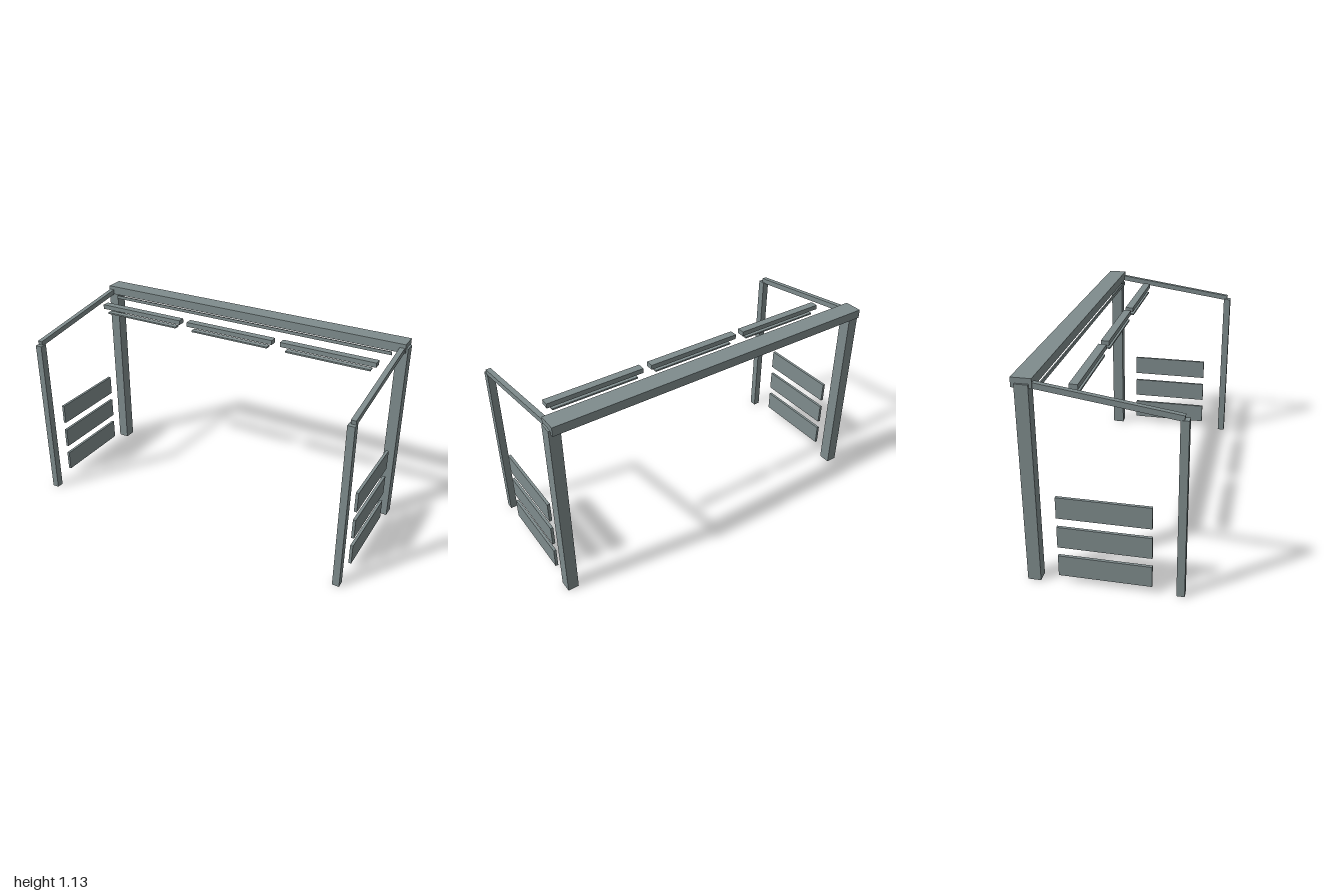
import * as THREE from 'three';

export function createModel() {
  const group = new THREE.Group();
  const steel = new THREE.MeshStandardMaterial({ color: 0x7f8c8d });
  steel.name = 'grey steel';

  // Box given by its extents on each axis
  function box(name, [x0, x1], [y0, y1], [z0, z1]) {
    const mesh = new THREE.Mesh(new THREE.BoxGeometry(x1 - x0, y1 - y0, z1 - z0), steel);
    mesh.position.set((x0 + x1) / 2, (y0 + y1) / 2, (z0 + z1) / 2);
    mesh.name = name;
    group.add(mesh);
    return mesh;
  }
  const span = (a, b, side) => (side > 0 ? [a, b] : [-b, -a]);

  // Rear header beam and the thin rail under its front edge
  box('headerBeam', [-0.987, 0.987], [1.078, 1.129], [-0.42, -0.315]);
  box('thinRail', [-0.918, 0.918], [1.058, 1.077], [-0.309, -0.302]);

  for (const side of [1, -1]) {
    const tag = side > 0 ? 'left' : 'right';
    box(tag + 'RearPost', span(0.935, 0.998, side), [0, 1.1], [-0.4, -0.33]);
    box(tag + 'FrontPost', span(0.945, 0.985, side), [0, 0.982], [0.378, 0.42]);

    // Sloping rafter, square-cut ends, rising to the rear
    const front = new THREE.Vector2(0.4, 1.005), rear = new THREE.Vector2(-0.33, 1.109);
    const angle = Math.atan2(rear.y - front.y, front.x - rear.x);
    const thick = 0.03;
    const rafter = new THREE.Mesh(new THREE.BoxGeometry(0.028, thick, front.distanceTo(rear)), steel);
    rafter.rotation.x = angle;
    rafter.position.set(
      side * 0.968,
      (front.y + rear.y) / 2 - Math.cos(angle) * thick / 2,
      (front.x + rear.x) / 2 - Math.sin(angle) * thick / 2
    );
    rafter.name = tag + 'Rafter';
    group.add(rafter);

    // Three side panels
    for (const y of [0.04, 0.212, 0.385]) {
      box(tag + 'SidePanel', span(0.972, 0.988, side), [y, y + 0.12], [-0.235, 0.254]);
    }
  }

  // Three hanging lamps: housing above, thin strip below
  for (const x of [-0.613, 0, 0.613]) {
    box('lampHousing', [x - 0.281, x + 0.281], [1.05, 1.077], [-0.168, -0.123]);
    box('lampStrip', [x - 0.25, x + 0.25], [1.021, 1.03], [-0.16, -0.125]);
  }
  return group;
}
